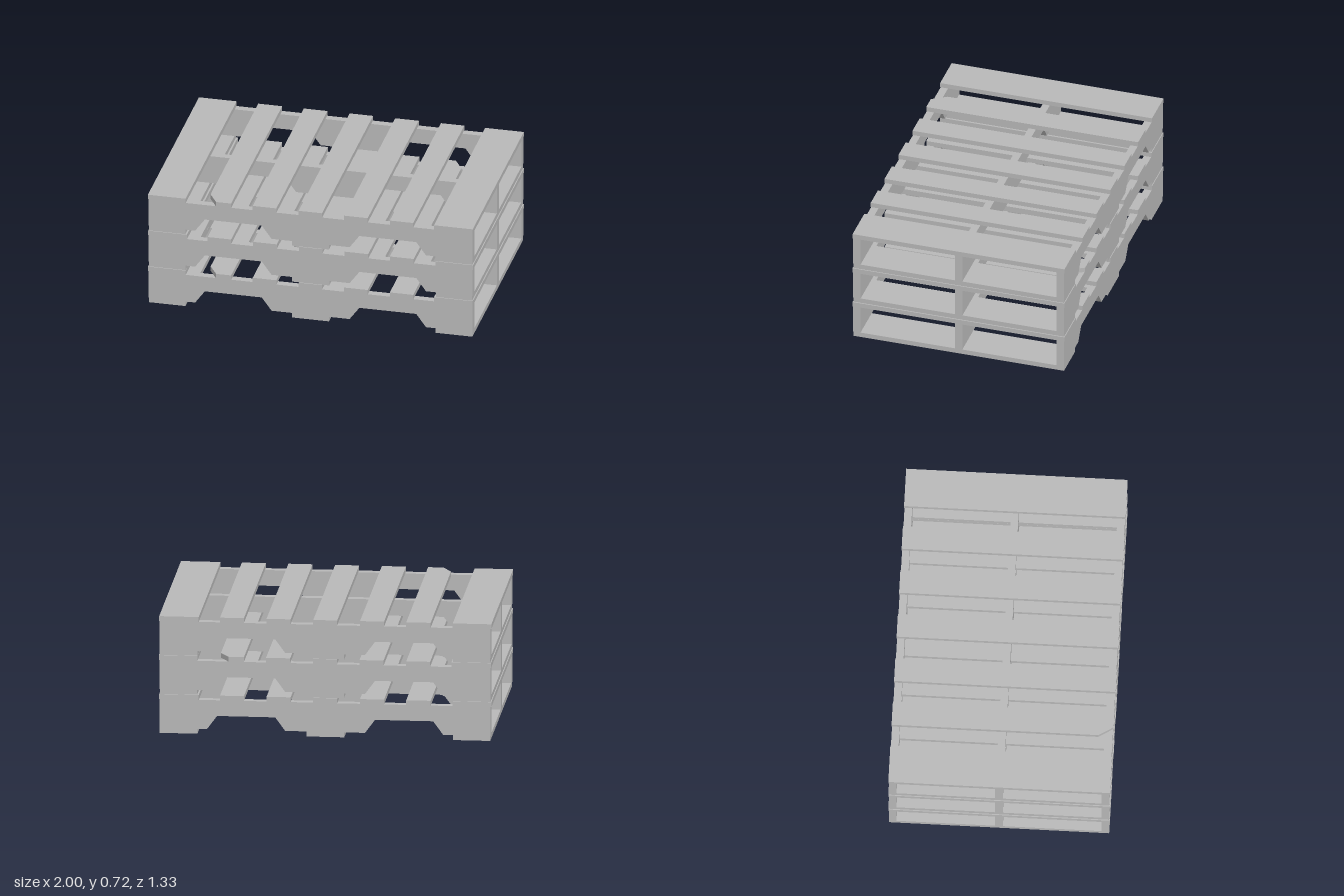
import * as THREE from 'three';

const wood = new THREE.MeshStandardMaterial({ color: 0xb8b8b8 });
wood.name = 'grey wood';

// Flat plan or side outline, extruded and named
function slab(name, points, depth) {
  const shape = new THREE.Shape(points.map(([x, y]) => new THREE.Vector2(x, y)));
  const geometry = new THREE.ExtrudeGeometry(shape, { depth, bevelEnabled: false });
  const mesh = new THREE.Mesh(geometry, wood);
  mesh.name = name;
  return mesh;
}

// Plank running front to back between two x positions
function plank(name, x0, x1, y0, y1, halfLength) {
  const mesh = new THREE.Mesh(new THREE.BoxGeometry(x1 - x0, y1 - y0, halfLength * 2), wood);
  mesh.position.set((x0 + x1) / 2, (y0 + y1) / 2, 0);
  mesh.name = name;
  return mesh;
}

function createPallet() {
  const pallet = new THREE.Group();

  // Bottom boards
  for (const [x0, x1] of [[-0.993, -0.77], [-0.115, 0.113], [0.768, 0.995]]) {
    pallet.add(plank('bottomBoard', x0, x1, 0, 0.031, 0.66));
  }

  // Stringers with two fork notches each
  const half = [[0.24, 0.031], [0.3, 0.113], [0.65, 0.113], [0.71, 0.031], [0.996, 0.031]];
  const outline = [
    ...half.map(([x, y]) => [-x, y]).reverse(),
    ...half,
    [0.996, 0.21], [-0.996, 0.21],
  ];
  for (const z of [-0.638, 0, 0.638]) {
    const stringer = slab('stringer', outline, 0.046);
    stringer.position.z = z - 0.023;
    pallet.add(stringer);
  }

  // Top boards, wide at both ends
  const spans = [[-1, -0.768], [-0.355, -0.21], [-0.073, 0.071],
    [0.207, 0.352], [0.488, 0.632], [0.76, 0.998]];
  for (const [x0, x1] of spans) {
    pallet.add(plank('topBoard', x0, x1, 0.21, 0.24, 0.664));
  }

  // Top board with a broken front corner
  const chipped = slab('chippedTopBoard',
    [[-0.635, -0.575], [-0.58, -0.664], [-0.488, -0.664], [-0.488, 0.664], [-0.635, 0.664]], 0.03);
  chipped.rotation.x = -Math.PI / 2;
  chipped.position.y = 0.21;
  pallet.add(chipped);
  return pallet;
}

export function createModel() {
  const stack = new THREE.Group();
  stack.name = 'palletStack';
  // Three stacked pallets, the middle one turned around
  ['lowerPallet', 'middlePallet', 'upperPallet'].forEach((name, i) => {
    const pallet = createPallet();
    pallet.name = name;
    pallet.position.y = i * 0.241;
    pallet.rotation.y = i === 1 ? Math.PI : 0;
    stack.add(pallet);
  });
  return stack;
}
